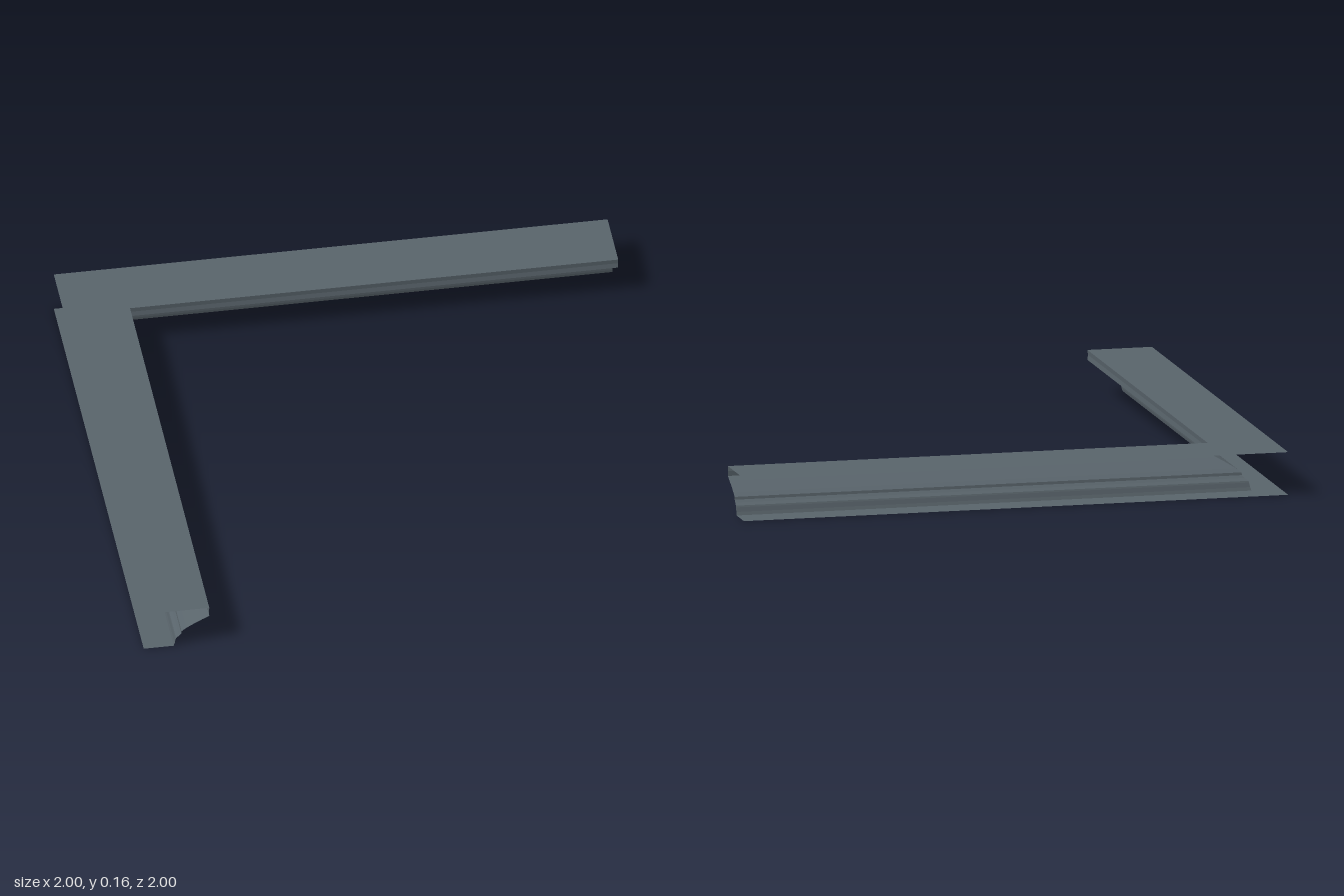
import * as THREE from 'three';

// Cross-sections as [inset from the outer edge, height]
const SECTIONS = {
  topPlate: [[0, 0.155], [0.237, 0.155]],
  upperLip: [[0.237, 0.155], [0.235, 0.137], [0.237, 0.119]],
  cove: [[0.237, 0.119], [0.21, 0.106], [0.18, 0.09], [0.154, 0.075], [0.137, 0.062]],
  bead: [[0.137, 0.062], [0.136, 0.052], [0.128, 0.043], [0.117, 0.034], [0.115, 0.028]],
  lowerLip: [[0.115, 0.028], [0.112, 0.012], [0.108, 0]],
  bottomPlate: [[0.108, 0], [0, 0]],
};

// Sweep a section along one arm, mitred at the corner and open at the far end
function armStrip(section, alongX) {
  const at = ([d, y], end) => {
    const across = -1 + d;
    const along = end ? 1 : -1 + d;
    return alongX ? [along, y, across] : [across, y, along];
  };
  const positions = [];
  for (let i = 0; i < section.length - 1; i++) {
    const a = at(section[i], false), b = at(section[i + 1], false);
    const c = at(section[i + 1], true), d = at(section[i], true);
    // mirrored arm needs the opposite corner order
    const corners = alongX ? [a, c, b, a, d, c] : [a, b, c, a, c, d];
    positions.push(...corners.flat());
  }
  const geometry = new THREE.BufferGeometry();
  geometry.setAttribute('position', new THREE.Float32BufferAttribute(positions, 3));
  geometry.computeVertexNormals();
  // make the first side of every face point up or into the corner
  if (geometry.attributes.normal.getY(0) < -0.99) {
    for (let i = 0; i < positions.length; i += 9) {
      for (let k = 0; k < 3; k++) {
        [positions[i + 3 + k], positions[i + 6 + k]] = [positions[i + 6 + k], positions[i + 3 + k]];
      }
    }
    geometry.setAttribute('position', new THREE.Float32BufferAttribute(positions, 3));
    geometry.computeVertexNormals();
  }
  return geometry;
}

export function createModel() {
  const model = new THREE.Group();
  model.name = 'cornerMoulding';
  const slate = new THREE.MeshStandardMaterial({ color: 0x58636a, side: THREE.DoubleSide });
  slate.name = 'slateGrey';

  // Two mitred arms meeting at the back corner
  for (const alongX of [false, true]) {
    const arm = new THREE.Group();
    arm.name = alongX ? 'backArm' : 'sideArm';
    for (const [name, section] of Object.entries(SECTIONS)) {
      const mesh = new THREE.Mesh(armStrip(section, alongX), slate);
      mesh.name = name;
      arm.add(mesh);
    }
    model.add(arm);
  }
  return model;
}
